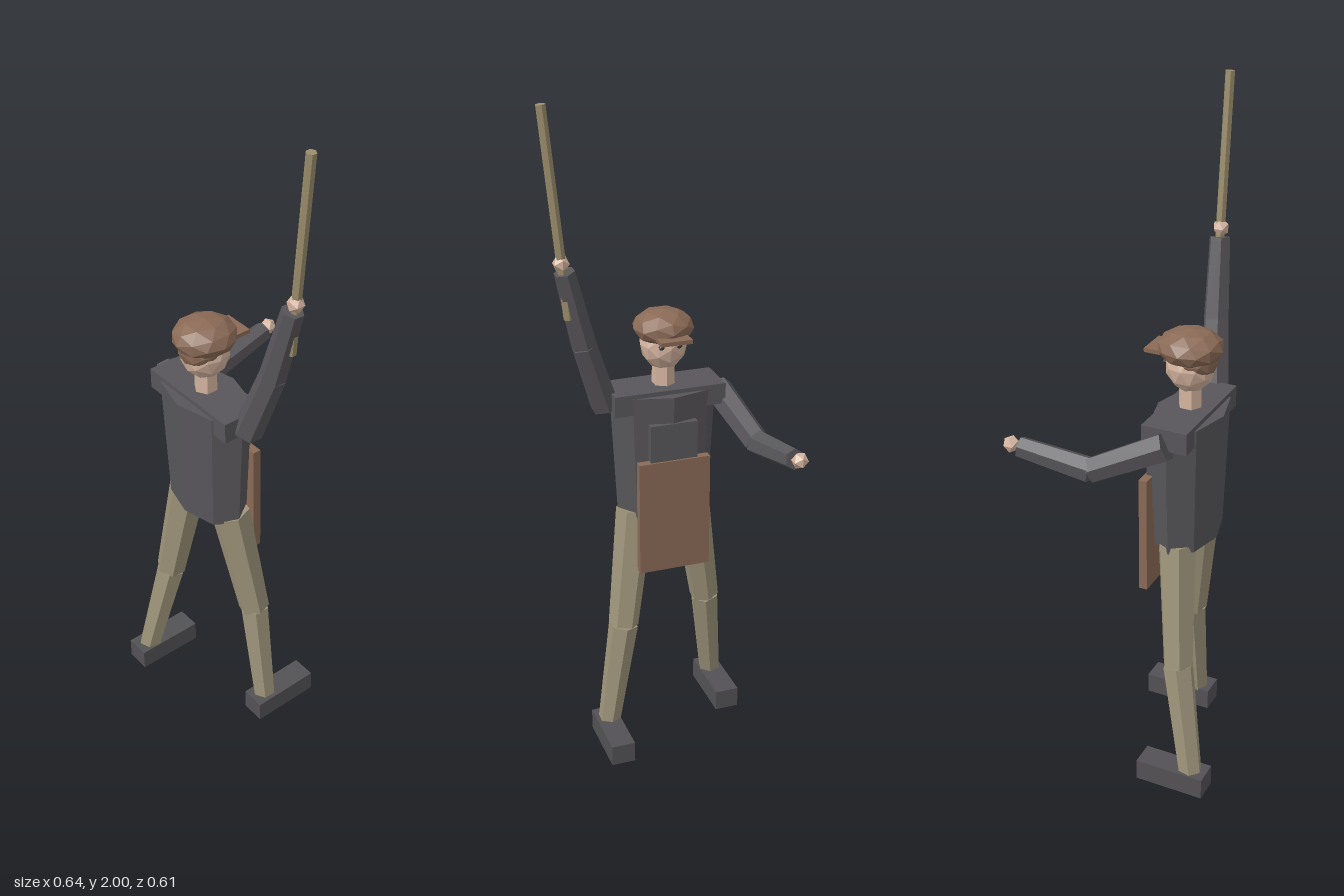
import * as THREE from 'three';

const mat = (name, color) => {
  const m = new THREE.MeshStandardMaterial({ color, flatShading: true });
  m.name = name;
  return m;
};

export function createModel() {
  const root = new THREE.Group();
  root.name = 'figure';
  const coat = mat('charcoal coat', 0x58565a);
  const boots = mat('dark boots', 0x535155);
  const cloth = mat('khaki trousers', 0x9e947a);
  const brown = mat('brown felt and leather', 0x8a6a56);
  const skin = mat('skin', 0xd6b5a0);
  const wood = mat('pale wood', 0x9c8e6c);
  const dark = mat('eyes', 0x3a3638);

  const add = (name, geo, material, x = 0, y = 0, z = 0) => {
    const mesh = new THREE.Mesh(geo, material);
    mesh.name = name;
    mesh.position.set(x, y, z);
    root.add(mesh);
    return mesh;
  };

  // box given by its minimum and maximum corners
  const box = (name, material, a, b) => add(name,
    new THREE.BoxGeometry(b[0] - a[0], b[1] - a[1], b[2] - a[2]), material,
    (a[0] + b[0]) / 2, (a[1] + b[1]) / 2, (a[2] + b[2]) / 2);

  // six-sided tapered rod between two points
  const rod = (name, material, a, b, ra, rb) => {
    const p = new THREE.Vector3(...a), q = new THREE.Vector3(...b);
    const d = q.clone().sub(p);
    const mesh = add(name, new THREE.CylinderGeometry(rb, ra, d.length(), 6), material);
    mesh.position.copy(p).add(q).multiplyScalar(0.5);
    mesh.quaternion.setFromUnitVectors(new THREE.Vector3(0, 1, 0), d.normalize());
    return mesh;
  };

  // faceted ball stretched along each axis
  const ball = (name, material, c, r, detail = 1) => {
    const g = new THREE.IcosahedronGeometry(1, detail);
    g.scale(...r);
    return add(name, g, material, ...c);
  };

  // torso and shoulders
  const torso = new THREE.CylinderGeometry(0.165, 0.144, 0.39, 8);
  torso.scale(1, 1, 0.6);
  add('torso', torso, coat, -0.05, 0.955, 0.148);
  box('shoulderYoke', coat, [-0.22, 1.1, 0.078], [0.12, 1.163, 0.213]);
  box('chestFlap', coat, [-0.122, 0.85, 0.047], [0.022, 1.07, 0.075]);

  // flat satchel carried at the waist
  box('satchel', brown, [-0.16, 0.598, 0.041], [0.06, 0.955, 0.066]);

  // head, cap and brim, looking toward -z
  add('neck', new THREE.CylinderGeometry(0.033, 0.035, 0.12, 6), skin, -0.05, 1.19, 0.146);
  ball('head', skin, [-0.05, 1.288, 0.146], [0.07, 0.08, 0.072]);
  ball('hair', brown, [-0.05, 1.305, 0.16], [0.067, 0.058, 0.065]);
  ball('cap', brown, [-0.05, 1.338, 0.146], [0.09, 0.053, 0.094]);
  box('capBrim', brown, [-0.097, 1.318, 0.027], [-0.003, 1.33, 0.11]);
  for (const s of [-1, 1]) {
    ball('eye', dark, [-0.05 + s * 0.027, 1.295, 0.083], [0.009, 0.009, 0.009], 0);
  }

  // arms and hands
  const arms = [
    ['left', [0.13, 1.115, 0.143], [0.197, 1.32, 0.113], [0.253, 1.545, 0.095], [0.262, 1.57, 0.094]],
    ['right', [-0.225, 1.118, 0.155], [-0.27, 1.02, -0.05], [-0.292, 1.055, -0.26], [-0.297, 1.06, -0.283]],
  ];
  for (const [side, shoulder, elbow, wrist, hand] of arms) {
    rod(side + 'UpperArm', coat, shoulder, elbow, 0.043, 0.038);
    rod(side + 'Forearm', coat, elbow, wrist, 0.038, 0.031);
    ball(side + 'Hand', skin, hand, [0.025, 0.025, 0.025], 0);
  }

  // raised stick
  rod('stick', wood, [0.246, 1.41, 0.092], [0.304, 2, 0.092], 0.014, 0.014);

  // legs in mid stride
  const legs = [
    ['left', [0.042, 0.77, 0.14], [0.098, 0.4, 0.096], [0.15, 0.05, 0.097]],
    ['right', [-0.14, 0.77, 0.152], [-0.203, 0.4, 0.188], [-0.253, 0.05, 0.256]],
  ];
  for (const [side, hip, knee, ankle] of legs) {
    rod(side + 'Thigh', cloth, hip, knee, 0.058, 0.046);
    rod(side + 'Shin', cloth, knee, ankle, 0.046, 0.035);
  }

  // boots
  box('leftBoot', boots, [0.117, 0, -0.064], [0.191, 0.066, 0.148]);
  box('rightBoot', boots, [-0.289, 0.008, 0.094], [-0.214, 0.074, 0.305]);

  return root;
}
